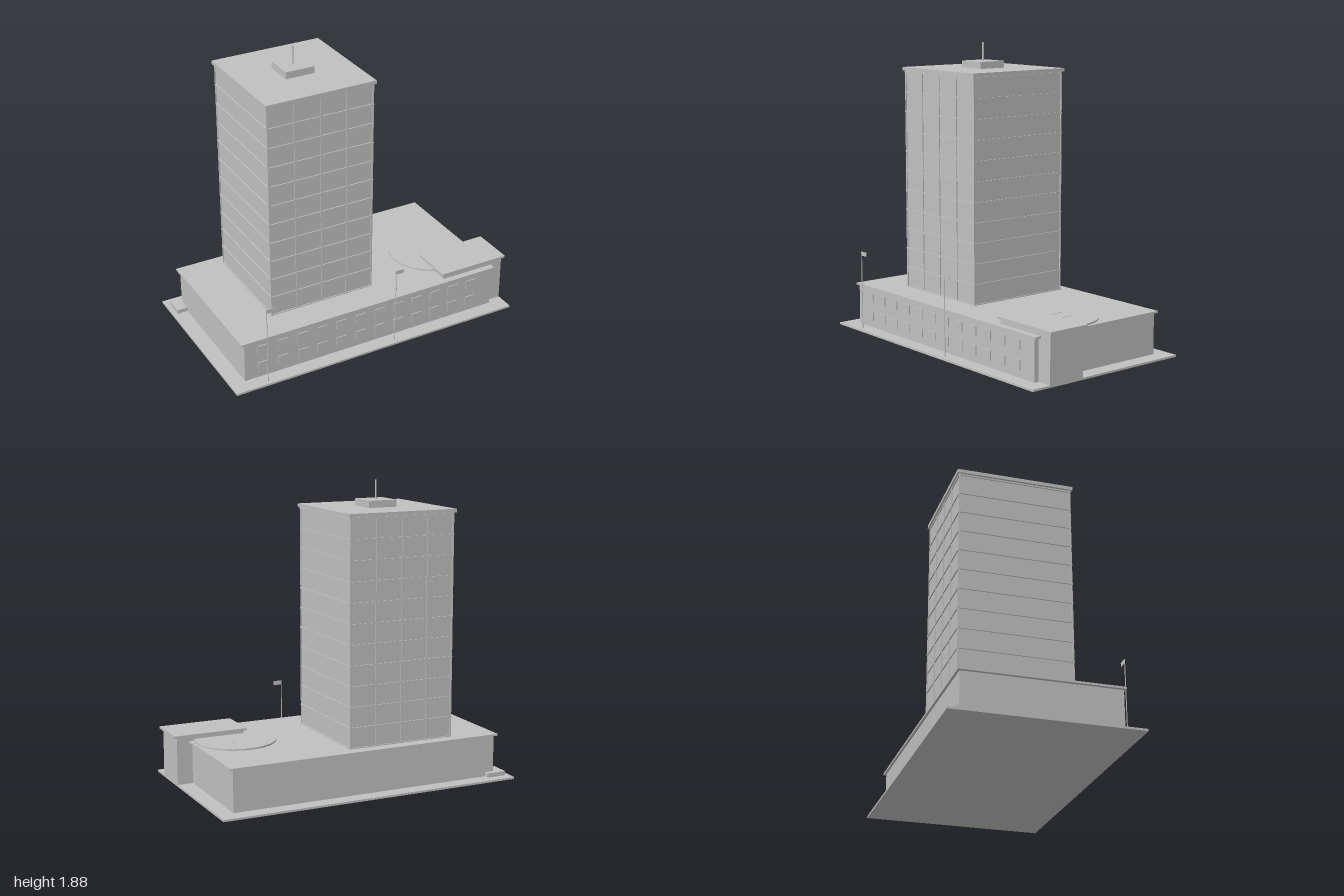
import * as THREE from 'three';

export function createModel() {
  const model = new THREE.Group();
  model.name = 'officeTower';
  const concrete = new THREE.MeshStandardMaterial({ color: 0xc0c0c0 });
  concrete.name = 'concrete grey';

  const add = (name, geometry, x, y, z, parent = model) => {
    const mesh = new THREE.Mesh(geometry, concrete);
    mesh.name = name;
    mesh.position.set(x, y, z);
    parent.add(mesh);
    return mesh;
  };
  // Box given by its limits on each axis
  const box = (name, x0, x1, y0, y1, z0, z1, parent) =>
    add(name, new THREE.BoxGeometry(x1 - x0, y1 - y0, z1 - z0),
      (x0 + x1) / 2, (y0 + y1) / 2, (z0 + z1) / 2, parent);
  const group = (name) => {
    const g = new THREE.Group();
    g.name = name;
    model.add(g);
    return g;
  };

  // Ground slab and podium
  box('groundSlab', -1, 0.98, 0, 0.013, -0.575, 0.575);
  box('podium', -0.9, 0.88, 0.013, 0.275, -0.48, 0.48);
  box('podiumRoof', -0.92, 0.9, 0.273, 0.286, -0.495, 0.49);
  box('cornerPlinth', -0.97, -0.84, 0.002, 0.04, -0.515, -0.39);

  // Two rows of podium windows
  const windows = group('podiumWindows');
  for (let i = 0; i < 12; i++) {
    const x = -0.775 + i * 0.136;
    for (const y of [0.09, 0.21])
      box('window', x - 0.036, x + 0.036, y - 0.03, y + 0.03, 0.479, 0.486, windows);
  }

  // Entrance annex
  box('annex', 0.535, 0.98, 0.013, 0.317, 0.195, 0.448);
  box('annexRoof', 0.52, 1, 0.315, 0.33, 0.178, 0.46);

  // Landing pad with painted bars
  const pad = group('landingPad');
  add('padDisc', new THREE.CylinderGeometry(0.255, 0.255, 0.01, 48), 0.63, 0.291, 0.095, pad);
  for (const side of [-1, 1])
    box('padStripe', 0.63 + side * 0.05 - 0.008, 0.63 + side * 0.05 + 0.008,
      0.295, 0.298, 0.01, 0.15, pad);

  // Tower core, floor bands, front and back fins
  const tower = group('tower');
  const cx = -0.265, cz = -0.064;
  box('towerCore', cx - 0.35, cx + 0.35, 0.28, 1.705, cz - 0.35, cz + 0.35, tower);
  for (let i = 0; i <= 11; i++) {
    const y = 0.287 + i * 0.1277;
    box('floorBand', cx - 0.357, cx + 0.357, y - 0.005, y + 0.005, cz - 0.357, cz + 0.357, tower);
  }
  for (const side of [-1, 1])
    for (let i = 0; i < 5; i++) {
      const x = cx + (i - 2) * 0.1755;
      const z = cz + side * 0.352;
      box('fin', x - 0.005, x + 0.005, 0.285, 1.7, z - 0.004, z + 0.004, tower);
    }

  // Tower roof, plant room and antenna
  box('towerRoof', cx - 0.366, cx + 0.366, 1.7, 1.722, cz - 0.367, cz + 0.367);
  box('plantRoom', cx - 0.096, cx + 0.096, 1.72, 1.766, cz - 0.095, cz + 0.095);
  add('antenna', new THREE.CylinderGeometry(0.005, 0.005, 0.12, 10), cx, 1.825, cz);

  // Flagpoles
  for (const x of [-0.775, 0.118]) {
    const flagpole = group('flagpole');
    add('pole', new THREE.CylinderGeometry(0.003, 0.003, 0.515, 8), x, 0.2685, 0.543, flagpole);
    box('flag', x, x + 0.055, 0.499, 0.525, 0.541, 0.545, flagpole);
  }

  return model;
}
